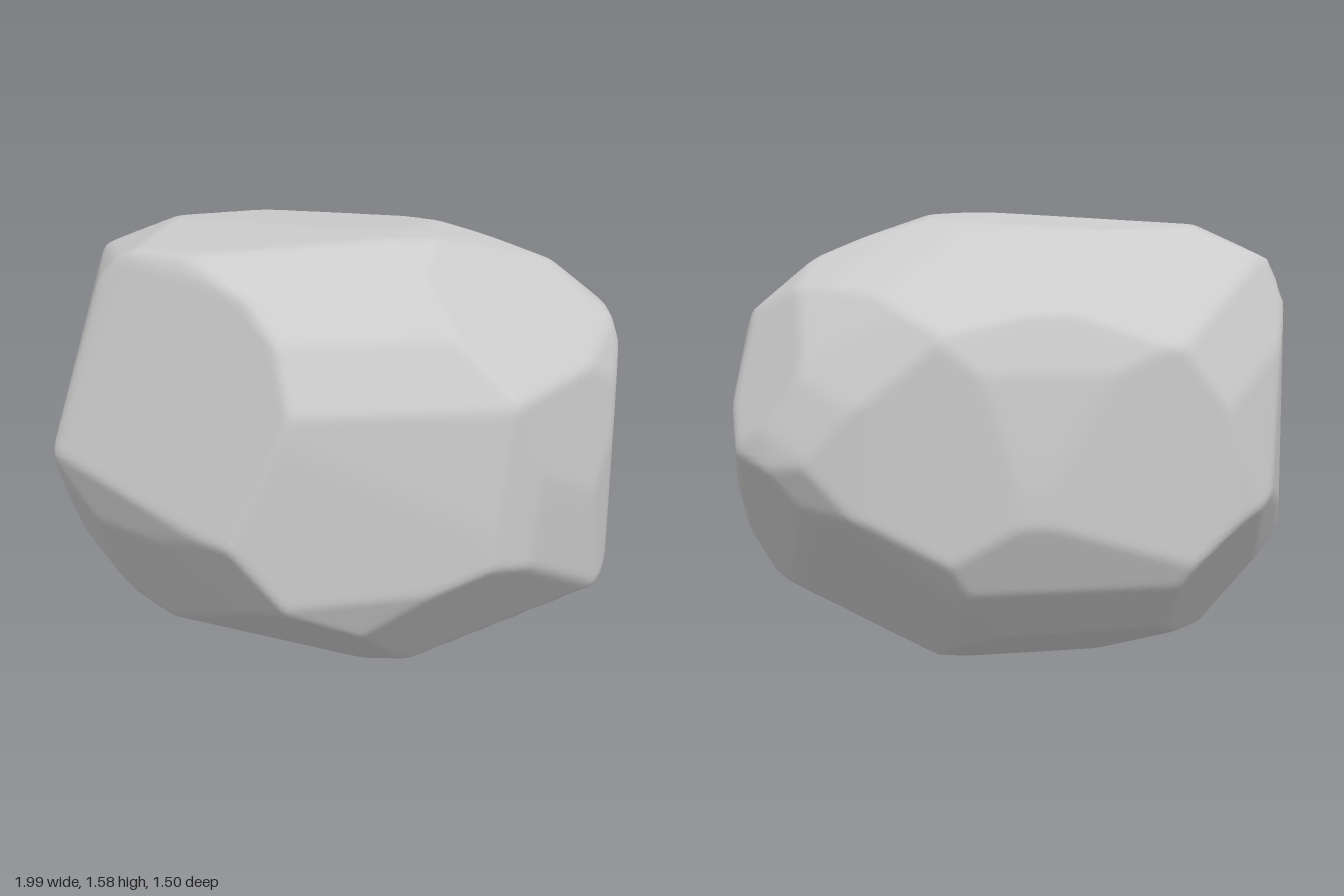
import * as THREE from 'three';
import { mergeVertices } from 'three/addons/utils/BufferGeometryUtils.js';

const V = (x, y, z) => new THREE.Vector3(x, y, z);
const MIDDLE = 0.8; // height of the stone's middle

// The boulder is a solid trimmed by flat cuts; each cut is { n, h } measured from its middle.
const cuts = [];
const cut = (x, y, z, h) => cuts.push({ n: V(x, y, z).normalize(), h });

// Cuts that trim the solid to an outline lying in the plane of axes a and b.
function trim(a, b, pts) {
  const p = [];
  for (let i = 0; i < pts.length; i += 2) p.push(new THREE.Vector2(pts[i], pts[i + 1]));
  p.forEach((q, i) => {
    const e = p[(i + 1) % p.length].clone().sub(q);
    const n = new THREE.Vector2(e.y, -e.x).normalize();
    if (n.dot(q) < 0) n.negate();
    const h = Math.max(...p.map((k) => n.dot(k)));
    cuts.push({ n: a.clone().multiplyScalar(n.x).addScaledVector(b, n.y), h });
  });
}

// The same on a slanted plane that faces the ground direction (dx, dz), tipped by an angle.
function trimSlanted(dx, dz, tip, pts) {
  const f = V(dx, 0, dz).normalize();
  const up = f.clone().multiplyScalar(-Math.sin(tip)).setY(Math.cos(tip));
  trim(V(f.z, 0, -f.x), up, pts);
}

// Outline across the width
trim(V(1, 0, 0), V(0, 1, 0), [
  -1, 0.04, -0.82, 0.62, -0.73, 0.74, 0.1, 0.79, 0.28, 0.78, 0.7, 0.66, 0.92, 0.46, 1, 0.15,
  0.99, -0.1, 0.95, -0.3, 0.85, -0.49, 0.27, -0.76, 0, -0.8, -0.58, -0.74, -0.75, -0.6, -0.92, -0.37, -0.96, -0.25]);
// Outline along the depth
trim(V(0, 0, 1), V(0, 1, 0), [
  0.31, 0.79, 0.15, 0.785, -0.37, 0.73, -0.66, 0.48, -0.72, 0.3, -0.75, -0.05, -0.75, -0.18, -0.65, -0.41,
  -0.39, -0.67, -0.15, -0.76, 0.22, -0.8, 0.5, -0.67, 0.67, -0.45, 0.75, -0.25, 0.755, -0.12, 0.72, 0.35,
  0.62, 0.55, 0.45, 0.72]);
// Ground plan
trim(V(1, 0, 0), V(0, 0, 1), [
  -1, 0.2, -0.42, 0.72, 0.42, 0.75, 0.6, 0.65, 0.77, 0.5, 0.9, 0.3, 1, -0.1, 1, -0.3, 0.85, -0.52,
  0.6, -0.63, 0.1, -0.76, -0.6, -0.66, -0.73, -0.6, -0.85, -0.35, -0.95, -0.05]);

// Outlines on the slanted planes
trimSlanted(0.8, 1, 0.345, [
  -0.275, 0.88, 0.01, 0.835, 0.714, 0.5, 0.885, 0.2, 0.956, 0, 0.973, -0.1, 0.6, -0.66, 0.176, -0.75,
  -0.1, -0.81, -0.637, -0.45, -0.8, -0.148, -0.905, 0.21, -0.725, 0.72, -0.676, 0.79, -0.43, 0.85]);
trimSlanted(-0.8, -1, 0.345, [
  -0.05, 0.865, 0.16, 0.83, 0.6, 0.68, 0.68, 0.57, 0.905, -0.13, 0.71, -0.53, 0.61, -0.71, 0.49, -0.79,
  0.16, -0.8, -0.39, -0.66, -0.61, -0.52, -0.885, -0.176, -0.973, 0.06, -0.956, 0.18, -0.72, 0.63, -0.544, 0.753]);
trimSlanted(1, -1, -0.47, [
  -0.516, 0.786, -0.297, 0.797, -0.077, 0.786, 0.418, 0.687, 0.77, 0.423, 0.87, 0.18, 0.923, -0.18, 0.747, -0.544,
  0.505, -0.78, 0.363, -0.81, -0.2, -0.755, -0.46, -0.67, -0.82, -0.385, -0.87, -0.23, -0.88, 0.07, -0.824, 0.456,
  -0.72, 0.665]);

// Broad facets at the corners
cut(-0.36, 0.158, 0.444, 0.767);
cut(0.116, 0.166, 0.102, 0.84);
cut(0.248, -0.314, -0.224, 0.76);
cut(0.0385, -0.092, 0.109, 0.775);
cut(-0.6, -0.5, 0.6, 0.77);
cut(1, 1, -1, 0.87);
cut(-1, -1, -1, 0.85);

export function createModel() {
  let geo = new THREE.IcosahedronGeometry(1, 44);
  geo.deleteAttribute('normal');
  geo.deleteAttribute('uv');
  geo = mergeVertices(geo, 1e-5);

  // Push every point out to the nearest cut, with slightly worn edges.
  const pos = geo.attributes.position, v = V(0, 0, 0), wear = 400;
  for (let i = 0; i < pos.count; i++) {
    v.fromBufferAttribute(pos, i).normalize();
    const reach = cuts.map(({ n, h }) => Math.max(0, n.dot(v)) / h);
    const top = Math.max(...reach);
    const sum = reach.reduce((t, k) => t + Math.pow(k / top, wear), 0);
    v.multiplyScalar(1 / (top * Math.pow(sum, 1 / wear)));
    pos.setXYZ(i, v.x, v.y + MIDDLE, v.z);
  }
  geo.computeVertexNormals();

  const boulder = new THREE.Mesh(geo, new THREE.MeshStandardMaterial({ color: 0xcccccc }));
  boulder.name = 'boulder';
  const group = new THREE.Group();
  group.name = 'rock';
  group.add(boulder);
  return group;
}
